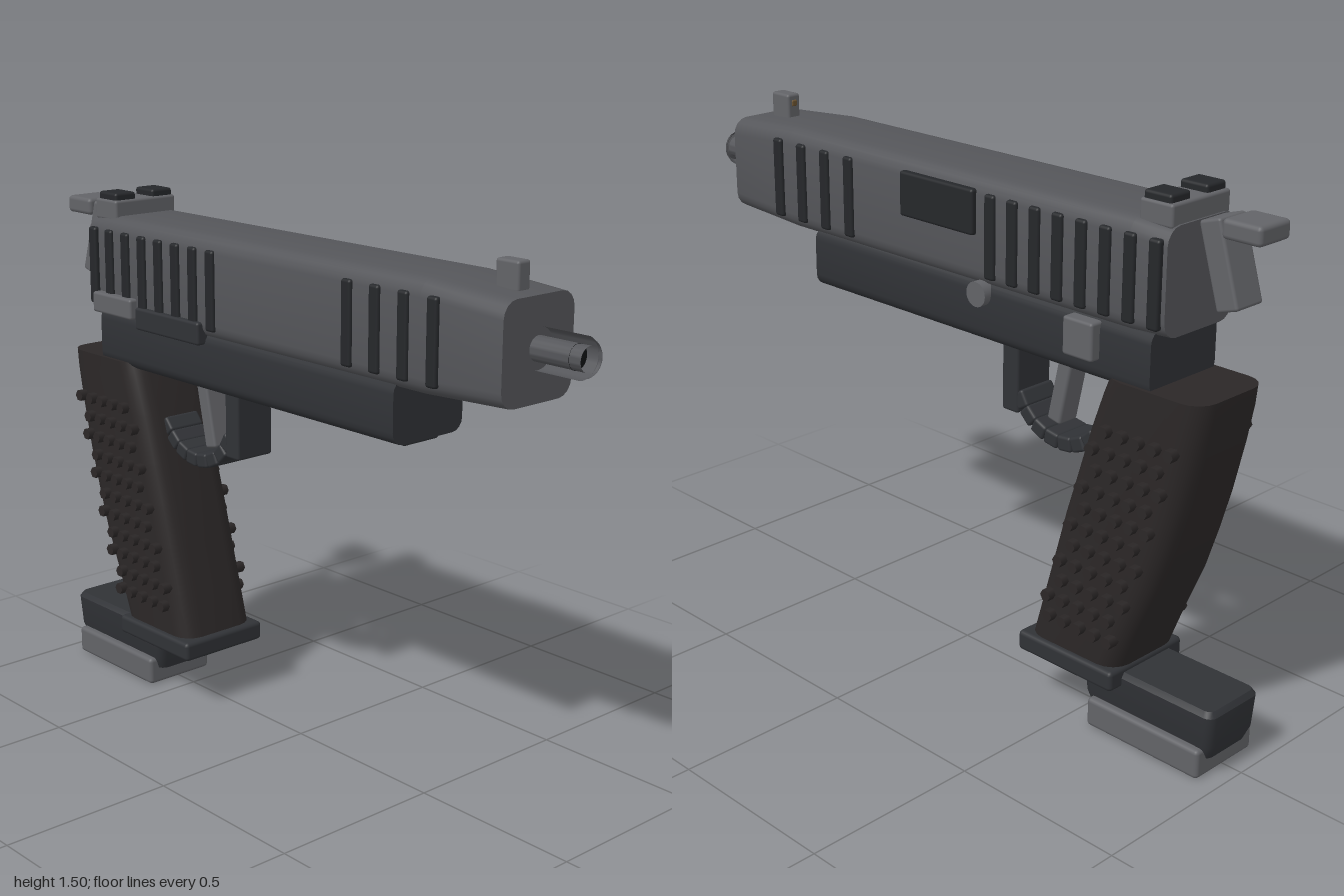
import * as THREE from 'three';
import { toCreasedNormals } from 'three/addons/utils/BufferGeometryUtils.js';
import { RoundedBoxGeometry } from 'three/addons/geometries/RoundedBoxGeometry.js';

const paint = (color) => new THREE.MeshStandardMaterial({ color });
const steel = paint(0x55565a), light = paint(0x626367), frameMat = paint(0x303236);
const dark = paint(0x25272a), gripMat = paint(0x2b2727), black = paint(0x111214), brown = paint(0x6a5230);

// Skin over rounded rectangles. Each section is [position, halfWidth, low, high, cornerRadius].
function loft(sections, steps = 4) {
  const pos = [], idx = [];
  const n = 4 * (steps + 1);
  for (const [z, hw, lo, hi, r] of sections) {
    const corners = [[hw - r, hi - r], [r - hw, hi - r], [r - hw, lo + r], [hw - r, lo + r]];
    corners.forEach(([cx, cy], k) => {
      for (let s = 0; s <= steps; s++) {
        const a = (k + s / steps) * Math.PI / 2;
        pos.push(cx + r * Math.cos(a), cy + r * Math.sin(a), z);
      }
    });
  }
  const last = sections.length - 1;
  for (let i = 0; i < last; i++) for (let j = 0; j < n; j++) {
    const a = i * n + j, b = i * n + (j + 1) % n;
    idx.push(a, b, b + n, a, b + n, a + n);
  }
  for (let j = 1; j < n - 1; j++) {
    idx.push(0, j + 1, j, last * n, last * n + j, last * n + j + 1);
  }
  const geo = new THREE.BufferGeometry();
  geo.setAttribute('position', new THREE.Float32BufferAttribute(pos, 3));
  geo.setIndex(idx);
  return toCreasedNormals(geo, 0.6);
}

export function createModel() {
  const model = new THREE.Group();
  const add = (name, geo, mat, parent = model) => {
    const mesh = new THREE.Mesh(geo, mat);
    mesh.name = name;
    parent.add(mesh);
    return mesh;
  };
  const group = (name) => {
    const g = new THREE.Group();
    g.name = name;
    model.add(g);
    return g;
  };
  // Softened block given by its limits on each axis
  const block = (name, [x0, x1], [y0, y1], [z0, z1], mat, parent, r = 0.008) => {
    const mesh = add(name, new RoundedBoxGeometry(x1 - x0, y1 - y0, z1 - z0, 2, r), mat, parent);
    mesh.position.set((x0 + x1) / 2, (y0 + y1) / 2, (z0 + z1) / 2);
    return mesh;
  };
  // Softened bar between two points in the side plane
  const bar = (name, [z0, y0], [z1, y1], width, thick, mat, parent) => {
    const len = Math.hypot(z1 - z0, y1 - y0);
    const mesh = add(name, new RoundedBoxGeometry(width, thick, len, 2, 0.008), mat, parent);
    mesh.position.set(0, (y0 + y1) / 2, (z0 + z1) / 2);
    mesh.rotation.x = -Math.atan2(y1 - y0, z1 - z0);
    return mesh;
  };

  // Slide, narrowing slightly at both ends
  add('slide', loft([
    [-0.79, 0.128, 1.147, 1.423, 0.045], [-0.68, 0.134, 1.142, 1.43, 0.045],
    [0.58, 0.134, 1.14, 1.43, 0.045], [0.84, 0.125, 1.15, 1.413, 0.045],
  ]), steel);

  // Grip ribs on both sides of the slide
  const ribs = group('slideRibs');
  const ribZ = [0.625, 0.525, 0.425, 0.325];
  for (let i = 0; i < 8; i++) ribZ.push(-0.22 - i * 0.0772);
  for (const z of ribZ) for (const s of [-1, 1]) {
    block('rib', s < 0 ? [-0.143, -0.11] : [0.11, 0.143], [1.17, 1.395], [z - 0.018, z + 0.018], dark, ribs);
  }
  block('ejectionPort', [0.1, 0.149], [1.278, 1.4], [-0.168, 0.106], dark);

  // Barrel with a hollow muzzle
  const barrel = add('barrel', new THREE.LatheGeometry([
    [0.032, 0.7], [0.032, 0.995], [0.04, 1], [0.046, 0.993], [0.046, 0.985], [0.053, 0.978], [0.053, 0.78],
  ].map(([r, z]) => new THREE.Vector2(r, z)), 32), steel);
  barrel.geometry = toCreasedNormals(barrel.geometry, 0.5);
  barrel.rotation.x = Math.PI / 2;
  barrel.position.y = 1.285;
  const bore = add('bore', new THREE.CircleGeometry(0.033, 24), black);
  bore.position.set(0, 1.285, 0.96);

  // Sights
  block('frontSight', [-0.022, 0.022], [1.41, 1.487], [0.715, 0.79], light);
  block('frontSightDot', [-0.009, 0.009], [1.452, 1.47], [0.711, 0.73], brown, model, 0.004);
  block('rearSight', [-0.108, 0.108], [1.415, 1.475], [-0.785, -0.683], light);
  for (const x of [-0.066, 0.066]) {
    block('rearSightPost', [x - 0.036, x + 0.036], [1.465, 1.495], [-0.775, -0.69], dark);
  }

  // Hammer with its thumb spur
  const hammer = group('hammer');
  bar('hammerArm', [-0.91, 1.23], [-0.845, 1.442], 0.1, 0.065, light, hammer);
  block('hammerSpur', [-0.058, 0.058], [1.405, 1.455], [-1, -0.886], light, hammer, 0.012);

  // Frame and rail below the slide
  add('frame', loft([[-0.75, 0.125, 0.99, 1.16, 0.035], [0.485, 0.125, 0.99, 1.16, 0.035]]), frameMat);
  block('rail', [-0.063, 0.063], [0.975, 1.0], [-0.14, 0.465], frameMat);

  // Controls on the sides
  block('magazineButton', [0.11, 0.155], [1.046, 1.147], [-0.588, -0.49], light);
  const pin = add('framePin', new THREE.CylinderGeometry(0.034, 0.034, 0.05, 24), light);
  pin.rotation.z = Math.PI / 2;
  pin.position.set(0.122, 1.125, -0.18);
  block('slideStop', [-0.15, -0.11], [1.125, 1.19], [-0.55, -0.26], frameMat);
  block('safetyLever', [-0.158, -0.11], [1.15, 1.21], [-0.745, -0.56], light);

  // Trigger and segmented guard
  const guard = group('triggerGuard');
  block('guardPost', [-0.063, 0.063], [0.79, 1.0], [-0.253, -0.195], frameMat, guard);
  const path = new THREE.CatmullRomCurve3([
    [-0.245, 0.85], [-0.285, 0.79], [-0.345, 0.757], [-0.42, 0.75], [-0.49, 0.777], [-0.55, 0.84],
  ].map(([z, y]) => new THREE.Vector3(0, y, z)));
  const steps = path.getSpacedPoints(8);
  for (let i = 0; i < 8; i++) {
    const a = steps[i], b = steps[i + 1];
    bar('guardSegment', [a.z, a.y], [b.z, b.y], 0.12, 0.042, frameMat, guard);
  }
  bar('trigger', [-0.355, 0.79], [-0.4, 1.0], 0.07, 0.046, light);

  // Raked, curved grip
  const gripRows = [[0.212, 0.36, 0.675], [0.34, 0.395, 0.725], [0.475, 0.432, 0.782],
    [0.6, 0.466, 0.822], [0.717, 0.502, 0.855], [0.86, 0.545, 0.888], [0.96, 0.58, 0.907], [1.01, 0.6, 0.912]];
  const grip = add('grip', loft(gripRows.map(([y, f, b]) => [y, 0.132, f, b, 0.06])), gripMat);
  grip.rotation.x = -Math.PI / 2;

  // Staggered studs on both sides of the grip
  const studs = group('gripStuds');
  const studGeo = new THREE.CylinderGeometry(0.017, 0.017, 0.04, 6);
  for (let row = 0; row < 11; row++) {
    const y = 0.3 + row * 0.0575;
    const k = gripRows.findIndex((g) => g[0] > y);
    const [a, b] = [gripRows[k - 1], gripRows[k]];
    const t = (y - a[0]) / (b[0] - a[0]);
    const mid = -THREE.MathUtils.lerp(a[1] + a[2], b[1] + b[2], t) / 2;
    for (let c = 0; c < 5; c++) for (const s of [-1, 1]) {
      const stud = add('stud', studGeo, gripMat, studs);
      stud.rotation.z = Math.PI / 2;
      stud.position.set(s * 0.135, y, mid + (c - 2) * 0.052 + (row % 2 ? 0.013 : -0.013));
    }
  }

  // Flared collar, magazine and its base
  block('gripCollar', [-0.145, 0.145], [0.153, 0.21], [-0.675, -0.343], frameMat, model, 0.012);
  block('magazineNeck', [-0.08, 0.08], [0.17, 0.225], [-0.6, -0.54], frameMat);
  const magazine = add('magazine', loft([
    [0.05, 0.083, 0.55, 0.95, 0.025], [0.09, 0.094, 0.54, 0.965, 0.025],
    [0.18, 0.1, 0.535, 0.97, 0.025], [0.195, 0.09, 0.55, 0.96, 0.02],
  ]), frameMat);
  magazine.rotation.x = -Math.PI / 2;
  block('magazineBase', [-0.113, 0.113], [0, 0.083], [-0.943, -0.567], light, model, 0.012);

  return model;
}
